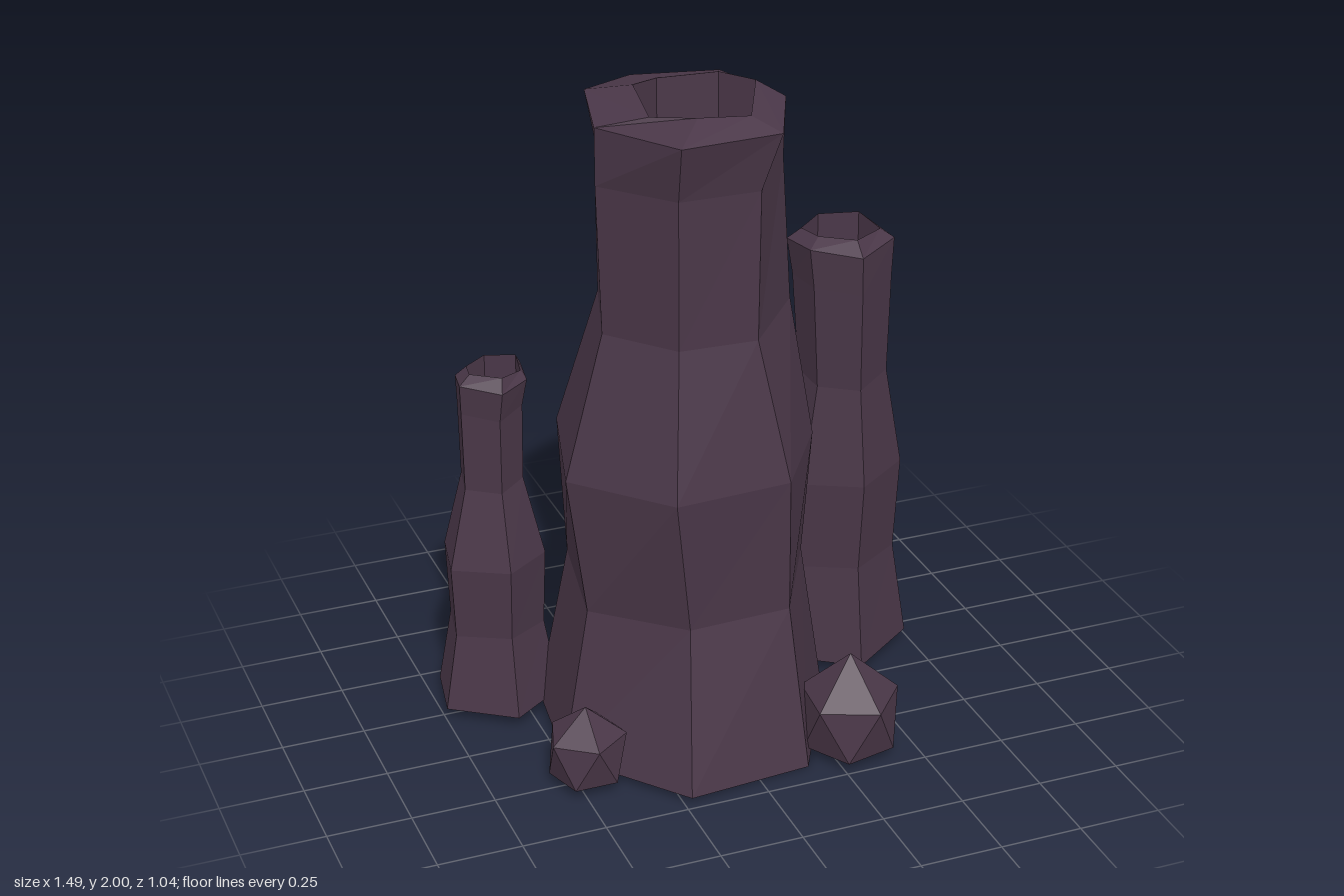
import * as THREE from 'three';

const rock = new THREE.MeshStandardMaterial({ color: 0x4a3748 });
rock.name = 'dark plum rock';

// Skins a stack of rings of [x, y, z] points, from the underside up and into the crater
function loft(rings) {
  const pos = [];
  const n = rings[0].length;
  for (let r = 0; r < rings.length - 1; r++) {
    for (let i = 0; i < n; i++) {
      const j = (i + 1) % n;
      const a = rings[r][i], b = rings[r][j], c = rings[r + 1][j], d = rings[r + 1][i];
      if (a !== b) pos.push(...a, ...d, ...b);
      if (c !== d) pos.push(...b, ...d, ...c);
    }
  }
  const geo = new THREE.BufferGeometry();
  geo.setAttribute('position', new THREE.Float32BufferAttribute(pos, 3));
  geo.computeVertexNormals(); // unshared corners give flat facets
  return geo;
}

// Closes a stack with a flat underside and a sunken crater floor
function chimney(name, rings, depth) {
  const centre = (ring) => {
    const c = [0, 1, 2].map((k) => ring.reduce((s, p) => s + p[k], 0) / ring.length);
    return ring.map(() => c);
  };
  const lip = rings[rings.length - 1];
  const floor = lip.map(([x, y, z]) => [x, y - depth, z]);
  const mesh = new THREE.Mesh(loft([centre(rings[0]), ...rings, floor, centre(floor)]), rock);
  mesh.name = name;
  return mesh;
}

// Main chimney: seven corners per ring, starting at the back and going towards +x
function mainChimney() {
  const levels = [
    [0.02, [-0.10, -0.51, 0.28, -0.32, 0.37, 0.03, 0.16, 0.42, -0.23, 0.48, -0.50, 0.14, -0.45, -0.24]],
    [0.49, [-0.10, -0.42, 0.22, -0.27, 0.30, 0.02, 0.14, 0.31, -0.18, 0.34, -0.41, 0.11, -0.36, -0.21]],
    [0.91, [-0.10, -0.40, 0.22, -0.27, 0.30, 0.09, 0.13, 0.33, -0.23, 0.37, -0.46, 0.09, -0.37, -0.25]],
    [1.33, [-0.11, -0.29, 0.17, -0.18, 0.24, 0.05, 0.06, 0.25, -0.18, 0.26, -0.33, 0.05, -0.26, -0.18]],
    [1.77, [-0.11, -0.27, 0.13, -0.17, 0.21, 0.06, 0.07, 0.24, -0.18, 0.26, -0.34, 0.04, -0.26, -0.17]],
    [1.94, [-0.11, -0.30, 0.13, -0.22, 0.22, 0.05, 0.12, 0.27, -0.19, 0.31, -0.34, 0.04, -0.29, -0.18]],
    [1.98, [-0.09, -0.14, 0.08, -0.10, 0.15, 0.00, 0.05, 0.21, -0.10, 0.20, -0.21, 0.12, -0.19, -0.06]],
  ];
  const rise = [0, 0.01, 0.01, -0.01, 0, -0.01, 0.02]; // uneven heights round each ring
  const rings = levels.map(([y, p], r) =>
    rise.map((h, i) => [p[2 * i], y + (r > 0 ? h : i === 3 ? -0.02 : 0), p[2 * i + 1]]));
  return chimney('mainChimney', rings, 0.2);
}

// Small chimney: one hexagon outline scaled and shifted at each level [y, x, z, scale]
function smallChimney(name, outline, levels) {
  const rings = levels.map(([y, cx, cz, s], r) =>
    outline.map(([x, z], i) => [cx + x * s, y + (r ? 0.008 * Math.sin(i * 2.3 + r) : 0), cz + z * s]));
  return chimney(name, rings, 0.1);
}

// Boulder: a faceted ball with one corner on top and a flat underside
function boulder(name, x, z, radius, height, mid, turn) {
  const geo = new THREE.IcosahedronGeometry(1, 0);
  geo.rotateZ(-Math.atan(2 / (1 + Math.sqrt(5))));
  geo.rotateY(-turn);
  const p = geo.attributes.position;
  for (let i = 0; i < p.count; i++) {
    const y = p.getY(i);
    const s = radius / 0.894 * (y < 0 ? 0.92 : 1);
    p.setXYZ(i, x + p.getX(i) * s, y > 0.9 ? height : y > 0 ? mid : 0.03, z + p.getZ(i) * s);
  }
  geo.computeVertexNormals();
  const mesh = new THREE.Mesh(geo, rock);
  mesh.name = name;
  return mesh;
}

export function createModel() {
  const model = new THREE.Group();
  model.name = 'rockChimneys';
  model.add(
    mainChimney(),
    smallChimney('leftChimney',
      [[-0.04, -0.23], [0.18, -0.13], [0.22, 0.09], [0, 0.25], [-0.19, 0.12], [-0.21, -0.09]],
      [[0.03, 0.52, -0.25, 1], [0.35, 0.515, -0.23, 0.79], [0.64, 0.52, -0.22, 0.82],
        [0.95, 0.52, -0.2, 0.57], [1.27, 0.51, -0.195, 0.63], [1.39, 0.505, -0.2, 0.68],
        [1.42, 0.51, -0.21, 0.5]]),
    smallChimney('rightChimney',
      [[0.005, -0.21], [0.19, -0.09], [0.165, 0.09], [-0.005, 0.21], [-0.19, 0.08], [-0.155, -0.11]],
      [[0.03, -0.555, -0.31, 1], [0.27, -0.555, -0.31, 0.77], [0.5, -0.555, -0.31, 0.82],
        [0.74, -0.555, -0.31, 0.5], [0.98, -0.555, -0.31, 0.52], [1.07, -0.55, -0.305, 0.57],
        [1.1, -0.54, -0.31, 0.43]]),
    boulder('leftBoulder', 0.31, 0.37, 0.15, 0.325, 0.19, 0.09),
    boulder('rightBoulder', -0.47, 0.25, 0.118, 0.25, 0.16, Math.PI / 2),
  );
  return model;
}
